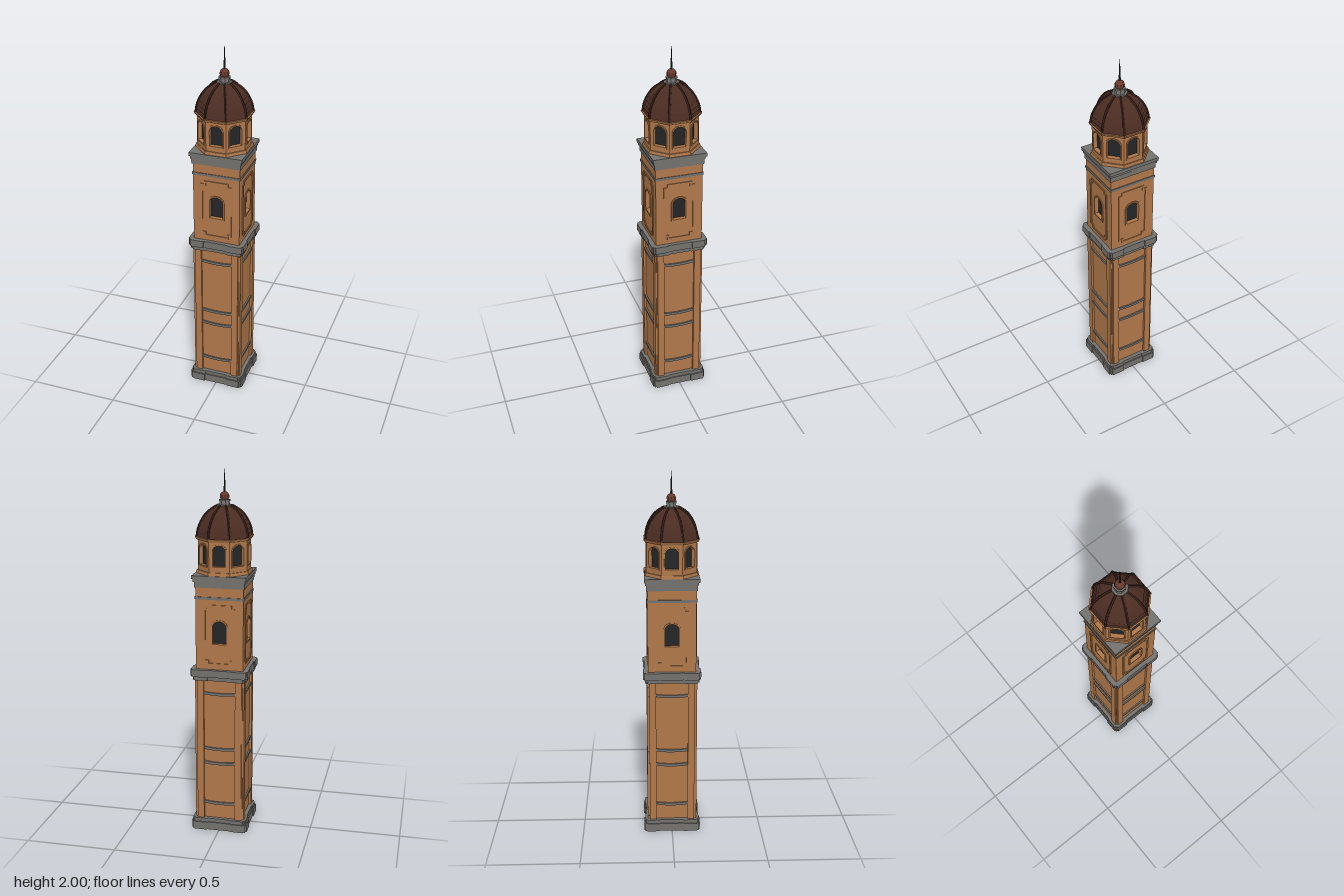
import * as THREE from 'three';

const mat = (color) => new THREE.MeshStandardMaterial({ color, flatShading: true, side: THREE.DoubleSide });
const plaster = mat(0xb0784a), stone = mat(0x74726e), tile = mat(0x4a2c22), tileRib = mat(0x3c231c);
const dark = mat(0x242526), copper = mat(0x6b3a2c);
const OCT = Math.cos(Math.PI / 8);

export function createModel() {
  const tower = new THREE.Group();
  tower.name = 'bellTower';

  const add = (name, geometry, material, y = 0, parent = tower) => {
    const mesh = new THREE.Mesh(geometry, material);
    mesh.name = name;
    mesh.position.y = y;
    parent.add(mesh);
    return mesh;
  };

  // Repeats a part on each of n faces, pushed out to the given distance
  const onSides = (name, n, distance, y, geometry, material) => {
    for (let i = 0; i < n; i++) {
      const side = new THREE.Group();
      side.name = name + 'Side';
      side.rotation.y = (i * 2 * Math.PI) / n;
      tower.add(side);
      add(name, geometry, material, y, side).position.z = distance;
    }
  };

  const extrude = (shape, depth) =>
    new THREE.ExtrudeGeometry(shape, { depth, bevelEnabled: false, curveSegments: 8 });
  const slab = (name, half, y0, y1, material) =>
    add(name, new THREE.BoxGeometry(half * 2, y1 - y0, half * 2), material, (y0 + y1) / 2);
  const octagon = (name, top, bottom, y0, y1, material) =>
    add(name, new THREE.CylinderGeometry(top / OCT, bottom / OCT, y1 - y0, 8, 1, false, Math.PI / 8),
      material, (y0 + y1) / 2);

  // Square plan with projecting corner strips and a recessed middle
  const pierPlan = (face, outer, inner, recess, corner) => {
    const pts = [];
    for (let i = 0; i < 4; i++) {
      const side = [[-corner, corner], [-outer, corner], [-outer, face], [-inner, face], [-inner, recess],
        [inner, recess], [inner, face], [outer, face], [outer, corner]];
      side.forEach(([x, y]) => pts.push(
        new THREE.Vector2(x, y).rotateAround(new THREE.Vector2(), (-i * Math.PI) / 2)));
    }
    return new THREE.Shape(pts);
  };
  const prism = (name, shape, y0, y1, material, scale = 1) =>
    add(name, extrude(shape, y1 - y0).rotateX(-Math.PI / 2).scale(scale, 1, scale), material, y0);

  // Arched outline: half width, sill height and overall top
  const arch = (w, y0, y1, Type = THREE.Shape) => {
    const s = new Type();
    s.moveTo(-w, y0);
    s.lineTo(w, y0);
    s.lineTo(w, y1 - w * 0.8);
    s.absellipse(0, y1 - w * 0.8, w, w * 0.8, 0, Math.PI, false);
    s.lineTo(-w, y0);
    return s;
  };
  const rect = (w, y0, y1) => new THREE.Shape([[-w, y0], [w, y0], [w, y1], [-w, y1]]
    .map(([x, y]) => new THREE.Vector2(x, y)));
  const archedWall = (half, height, w, sill, top, depth) => {
    const s = rect(half, 0, height);
    s.holes.push(arch(w, sill, top, THREE.Path));
    return extrude(s, depth);
  };
  const archTrim = (w, y0, y1, t, depth) => {
    const s = arch(w + t, y0 - t, y1 + t);
    s.holes.push(arch(w, y0, y1, THREE.Path));
    return extrude(s, depth);
  };

  // Plinth and lower shaft
  const heavy = pierPlan(0.157, 0.14, 0.068, 0.151, 0.15);
  prism('plinth', heavy, 0, 0.045, stone);
  prism('plinthCap', heavy, 0.045, 0.066, stone, 0.96);
  prism('lowerShaft', pierPlan(0.137, 0.124, 0.087, 0.124, 0.129), 0.066, 0.885, plaster);

  // Gently sagging stone bands across the recessed panels
  const band = new THREE.Shape();
  band.moveTo(-0.086, 0.004);
  band.quadraticCurveTo(0, -0.008, 0.086, 0.004);
  band.lineTo(0.086, 0.019);
  band.quadraticCurveTo(0, 0.007, -0.086, 0.019);
  const bandGeometry = extrude(band, 0.01);
  [0.15, 0.39, 0.475, 0.795].forEach((y) => onSides('panelBand', 4, 0.122, y, bandGeometry, stone));

  // Ledge between the two shafts
  prism('ledgeUnderside', heavy, 0.88, 0.902, stone, 0.94);
  prism('ledge', heavy, 0.902, 0.942, stone);

  // Upper shaft walls with one arched window each
  slab('upperShaftCore', 0.112, 0.94, 1.4, dark);
  onSides('upperWall', 4, 0.112, 0.94, archedWall(0.13, 0.46, 0.037, 0.145, 0.27, 0.018), plaster);
  onSides('windowTrim', 4, 0.13, 0, archTrim(0.037, 1.085, 1.21, 0.008, 0.005), plaster);

  // Panel moulding with stepped corners
  const steppedPanel = (w, y0, y1, n) => [[-w + n, y0], [w - n, y0], [w - n, y0 + n], [w, y0 + n],
    [w, y1 - n], [w - n, y1 - n], [w - n, y1], [-w + n, y1], [-w + n, y1 - n], [-w, y1 - n],
    [-w, y0 + n], [-w + n, y0 + n]].map(([x, y]) => new THREE.Vector2(x, y));
  const moulding = new THREE.Shape(steppedPanel(0.086, 0.968, 1.3, 0.018));
  moulding.holes.push(new THREE.Path(steppedPanel(0.076, 0.978, 1.29, 0.018)));
  onSides('panelMoulding', 4, 0.13, 0, extrude(moulding, 0.005), plaster);

  // String course and stepped cornice
  slab('stringCourse', 0.134, 1.328, 1.342, stone);
  slab('corniceLower', 0.136, 1.392, 1.422, stone);
  slab('corniceMiddle', 0.141, 1.422, 1.438, stone);
  slab('corniceTop', 0.147, 1.438, 1.457, stone);

  // Octagonal belfry
  octagon('belfryBase', 0.139, 0.142, 1.457, 1.474, plaster);
  octagon('belfryCore', 0.114, 0.114, 1.474, 1.636, dark);
  onSides('belfryWall', 8, 0.114, 1.472,
    archedWall(0.133 * Math.tan(Math.PI / 8), 0.166, 0.034, 0.034, 0.145, 0.019), plaster);
  onSides('belfryTrim', 8, 0.133, 0, archTrim(0.034, 1.506, 1.617, 0.007, 0.004), plaster);
  octagon('eaves', 0.148, 0.14, 1.636, 1.652, plaster);

  // Dome of overlapping tile courses
  const outline = new THREE.CatmullRomCurve3([[0.138, 1.65], [0.132, 1.69], [0.117, 1.73], [0.092, 1.77],
    [0.064, 1.795], [0.036, 1.812]].map(([r, y]) => new THREE.Vector3(r / OCT, y, 0)));
  const courses = 9, profile = [];
  for (let i = 0; i < courses; i++) {
    const a = outline.getPoint(i / courses), b = outline.getPoint((i + 1) / courses);
    profile.push(new THREE.Vector2(a.x + 0.003, a.y - 0.001), new THREE.Vector2(b.x - 0.002, b.y));
  }
  add('domeTiles', new THREE.LatheGeometry(profile, 8, Math.PI / 8), tile);
  const ribGeometry = new THREE.TubeGeometry(outline, 12, 0.0065, 5);
  for (let i = 0; i < 8; i++)
    add('domeRib', ribGeometry, tileRib).rotation.y = ((i + 0.5) * Math.PI) / 4;

  // Lantern cap, ball and spike
  octagon('lanternBase', 0.038, 0.042, 1.798, 1.815, stone);
  octagon('lanternNeck', 0.023, 0.027, 1.815, 1.838, stone);
  octagon('lanternCollar', 0.028, 0.028, 1.833, 1.842, stone);
  add('finialBall', new THREE.SphereGeometry(0.026, 10, 8), copper, 1.858);
  add('finialSpike', new THREE.CylinderGeometry(0.0012, 0.006, 0.122, 6), dark, 1.939);

  return tower;
}
